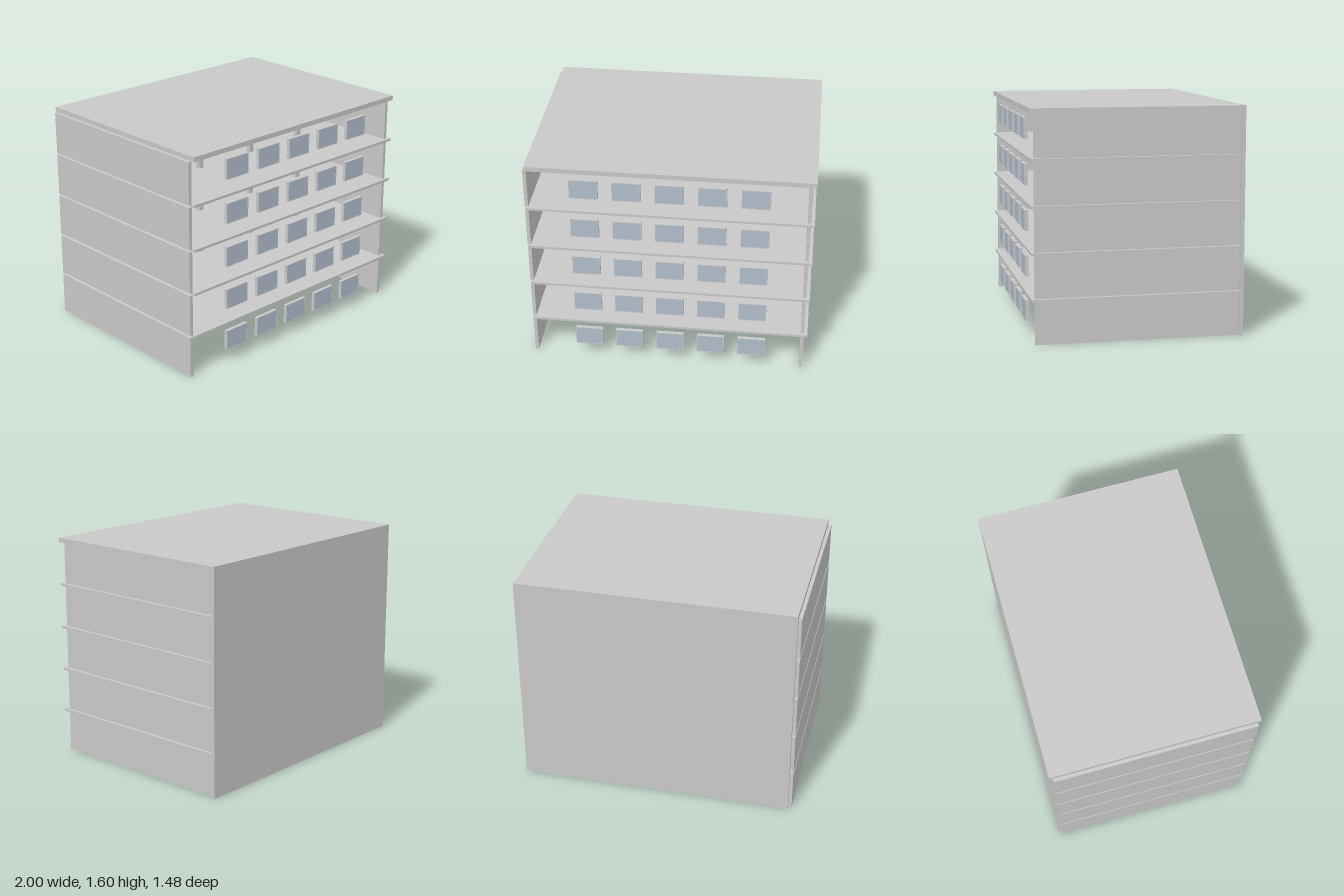
import * as THREE from 'three';

const concrete = new THREE.MeshStandardMaterial({ color: 0xc8c8c8 });
concrete.name = 'concrete grey';
const glass = new THREE.MeshStandardMaterial({ color: 0xb1bdcb });
glass.name = 'window blue';

// Box given by its minimum and maximum corners
function block(name, material, [x0, y0, z0], [x1, y1, z1]) {
  const geometry = new THREE.BoxGeometry(x1 - x0, y1 - y0, z1 - z0);
  const mesh = new THREE.Mesh(geometry, material);
  mesh.position.set((x0 + x1) / 2, (y0 + y1) / 2, (z0 + z1) / 2);
  mesh.name = name;
  return mesh;
}

const STOREYS = 5, PITCH = 0.3167, WALL_H = 0.299;
const WEST = -0.975, EAST = 1, DEPTH = 0.74, T = 0.025;
const WIN_W = 0.198, WIN_H = 0.146, RIM = 0.005;

// Thin grey rim around a pane, shared by all windows
function frameGeometry() {
  const w = WIN_W / 2, h = WIN_H / 2;
  const rect = (Type, a, b) => {
    const p = new Type();
    p.moveTo(-a, -b); p.lineTo(a, -b); p.lineTo(a, b); p.lineTo(-a, b); p.closePath();
    return p;
  };
  const shape = rect(THREE.Shape, w, h);
  shape.holes.push(rect(THREE.Path, w - RIM, h - RIM));
  return new THREE.ExtrudeGeometry(shape, { depth: T, bevelEnabled: false }).translate(0, 0, -T / 2);
}

export function createModel() {
  const building = new THREE.Group();
  building.name = 'openFrontBuilding';

  // Full-height back wall and roof slab
  const roofY = STOREYS * PITCH - PITCH + WALL_H;
  building.add(block('backWall', concrete, [WEST, 0, -DEPTH], [EAST, roofY, -DEPTH + T]));
  building.add(block('roof', concrete, [WEST, roofY, -DEPTH], [EAST, 1.6, DEPTH]));

  const rim = frameGeometry();
  const pane = new THREE.BoxGeometry(WIN_W - 2 * RIM, WIN_H - 2 * RIM, T - 0.003);

  for (let i = 0; i < STOREYS; i++) {
    const storey = new THREE.Group();
    storey.name = 'storey' + (i + 1);
    storey.position.y = i * PITCH;
    building.add(storey);

    // Side walls: one outside the slab edge, one set in from it
    const zs = DEPTH - T;
    storey.add(block('rightWall', concrete, [-1, 0, -zs], [WEST, WALL_H, zs]));
    storey.add(block('leftWall', concrete, [0.951, 0, -zs], [0.975, WALL_H, zs]));

    // Floor slab above this storey
    if (i < STOREYS - 1) {
      storey.add(block('floorSlab', concrete, [WEST, WALL_H, -zs], [EAST, PITCH, DEPTH]));
    }

    // Two rows of three square columns
    for (const x of [-0.481, 0.011, 0.503]) {
      for (const z of [-0.284, 0.21]) {
        storey.add(block('column', concrete, [x, 0, z], [x + 0.037, WALL_H, z + 0.037]));
      }
    }

    // Row of five windows along the open front
    for (let k = 0; k < 5; k++) {
      const win = new THREE.Group();
      win.name = 'window';
      win.position.set(-0.583 + 0.2955 * k, 0.176, DEPTH - T / 2);
      const frame = new THREE.Mesh(rim, concrete);
      frame.name = 'windowFrame';
      const sheet = new THREE.Mesh(pane, glass);
      sheet.name = 'windowPane';
      win.add(frame, sheet);
      storey.add(win);
    }
  }
  return building;
}
